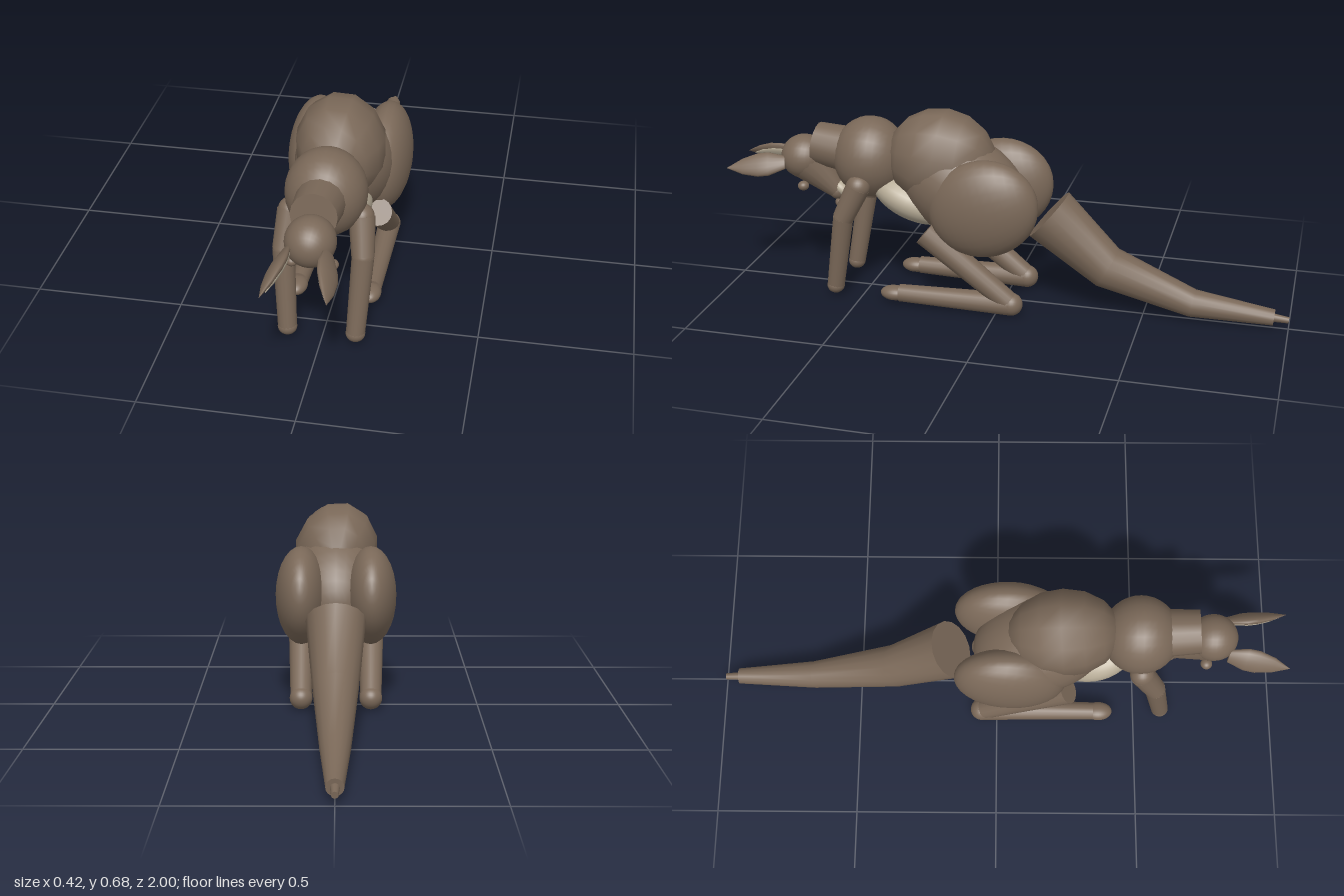
import * as THREE from 'three';

const fur = new THREE.MeshStandardMaterial({ color: 0x7a6858 });
fur.name = 'brown fur';
const cream = new THREE.MeshStandardMaterial({ color: 0xb5aa95 });
cream.name = 'cream fur';

const V = (x, y, z) => new THREE.Vector3(x, y, z);

export function createModel() {
  const model = new THREE.Group();
  model.name = 'kangaroo';

  const add = (name, geometry, material = fur) => {
    const mesh = new THREE.Mesh(geometry, material);
    mesh.name = name;
    model.add(mesh);
    return mesh;
  };

  // Ellipsoid with its poles along z, pitched about x
  const blob = (name, pos, radii, pitch = 0, material = fur, w = 28, h = 18) => {
    const g = new THREE.SphereGeometry(1, w, h).rotateX(Math.PI / 2).scale(...radii);
    const mesh = add(name, g, material);
    mesh.position.set(...pos);
    mesh.rotation.x = pitch;
    return mesh;
  };

  // Tapered cylinder from a to b
  const limb = (name, a, b, ra, rb) => {
    const dir = b.clone().sub(a);
    const mesh = add(name, new THREE.CylinderGeometry(rb, ra, dir.length(), 16));
    mesh.position.copy(a).add(b).multiplyScalar(0.5);
    mesh.quaternion.setFromUnitVectors(V(0, 1, 0), dir.normalize());
    return mesh;
  };

  // Torso
  blob('body', [0, 0.42, 0.145], [0.17, 0.178, 0.24], -0.5);
  blob('backHump', [0, 0.52, 0.225], [0.15, 0.175, 0.195], -0.1, fur, 12, 8).rotation.z = Math.PI / 12;
  blob('chest', [0, 0.505, 0.485], [0.132, 0.145, 0.132]);
  blob('belly', [0, 0.37, 0.33], [0.12, 0.075, 0.16], -0.4, cream);

  // Neck, bowed head and muzzle
  limb('neck', V(0, 0.515, 0.5), V(0, 0.54, 0.685), 0.085, 0.074);
  blob('head', [0, 0.484, 0.735], [0.08, 0.08, 0.083]);
  limb('muzzle', V(0, 0.46, 0.71), V(0, 0.365, 0.615), 0.073, 0.032);
  blob('muzzleTip', [0, 0.365, 0.615], [0.032, 0.032, 0.032]);
  blob('nose', [0, 0.322, 0.605], [0.025, 0.018, 0.02]);
  blob('jaw', [0, 0.375, 0.595], [0.03, 0.022, 0.04], -0.7, cream);

  for (const s of [1, -1]) {
    const side = s > 0 ? 'left' : 'right';
    const P = (x, y, z) => V(s * x, y, z);

    blob(side + 'Eye', [s * 0.063, 0.395, 0.72], [0.02, 0.017, 0.02]);

    // Leaf-shaped ear with a paler inner face
    const leaf = [[0, 0], [0.025, 0], [0.044, 0.06], [0.044, 0.1], [0.03, 0.155], [0, 0.215]];
    const ear = new THREE.Group();
    ear.name = side + 'Ear';
    const widthDir = P(0.6, -0.78, 0);
    const axis = P(0.16, -0.13, 0.98).normalize();
    const normal = new THREE.Vector3().crossVectors(widthDir, axis).normalize();
    widthDir.crossVectors(axis, normal);
    ear.quaternion.setFromRotationMatrix(new THREE.Matrix4().makeBasis(widthDir, axis, normal));
    ear.position.copy(P(0.064, 0.477, 0.785));
    const shape = new THREE.LatheGeometry(leaf.map(p => new THREE.Vector2(...p)), 16);
    const outer = new THREE.Mesh(shape.clone().scale(1, 1, 0.38), fur);
    outer.name = side + 'OuterEar';
    const inner = new THREE.Mesh(shape.clone().scale(0.75, 0.8, 0.28), cream);
    inner.name = side + 'InnerEar';
    // Offset toward the underside, facing the muzzle
    inner.position.set(0, 0.015, normal.y < 0 ? 0.009 : -0.009);
    ear.add(outer, inner);
    model.add(ear);

    // Arm
    const shoulder = P(0.115, 0.43, 0.495), elbow = P(0.128, 0.315, 0.55), wrist = P(0.112, 0.045, 0.595);
    blob(side + 'Shoulder', shoulder.toArray(), [0.04, 0.042, 0.042]);
    limb(side + 'UpperArm', shoulder, elbow, 0.043, 0.037);
    blob(side + 'Elbow', elbow.toArray(), [0.035, 0.035, 0.035]);
    limb(side + 'Forearm', elbow, wrist, 0.036, 0.031);
    blob(side + 'Paw', wrist.toArray(), [0.032, 0.029, 0.031]);

    // Folded hind leg
    const knee = P(0.128, 0.29, 0.25), ankle = P(0.122, 0.047, -0.055), toe = P(0.126, 0.047, 0.35);
    blob(side + 'Thigh', [s * 0.122, 0.393, 0.045], [0.09, 0.172, 0.195], 0.35);
    limb(side + 'Shin', knee, ankle, 0.047, 0.037);
    blob(side + 'Ankle', ankle.toArray(), [0.04, 0.04, 0.04]);
    limb(side + 'Foot', ankle, toe, 0.04, 0.031);
    blob(side + 'Toe', [s * 0.126, 0.045, 0.37], [0.034, 0.026, 0.05]);
  }

  // Tail: a segmented cylinder whose rings follow [y, z, radius]
  const rings = [[0.348, -0.16, 0.102], [0.17, -0.37, 0.076], [0.067, -0.67, 0.049], [0.045, -0.95, 0.028]];
  const tail = new THREE.CylinderGeometry(1, 1, 3, 16, 3);
  const pos = tail.attributes.position;
  for (let i = 0; i < pos.count; i++) {
    const k = Math.round(1.5 - pos.getY(i));
    const [y, z, r] = rings[k];
    const before = rings[Math.max(k - 1, 0)], after = rings[Math.min(k + 1, 3)];
    const t = V(0, before[0] - after[0], before[1] - after[1]).normalize();
    const across = V(1, 0, 0).cross(t);
    const p = V(r * pos.getX(i), y, z).addScaledVector(across, r * pos.getZ(i));
    pos.setXYZ(i, p.x, p.y, p.z);
  }
  tail.computeVertexNormals();
  add('tail', tail);
  limb('tailTip', V(0, 0.045, -0.94), V(0, 0.04, -1), 0.015, 0.011);

  return model;
}
